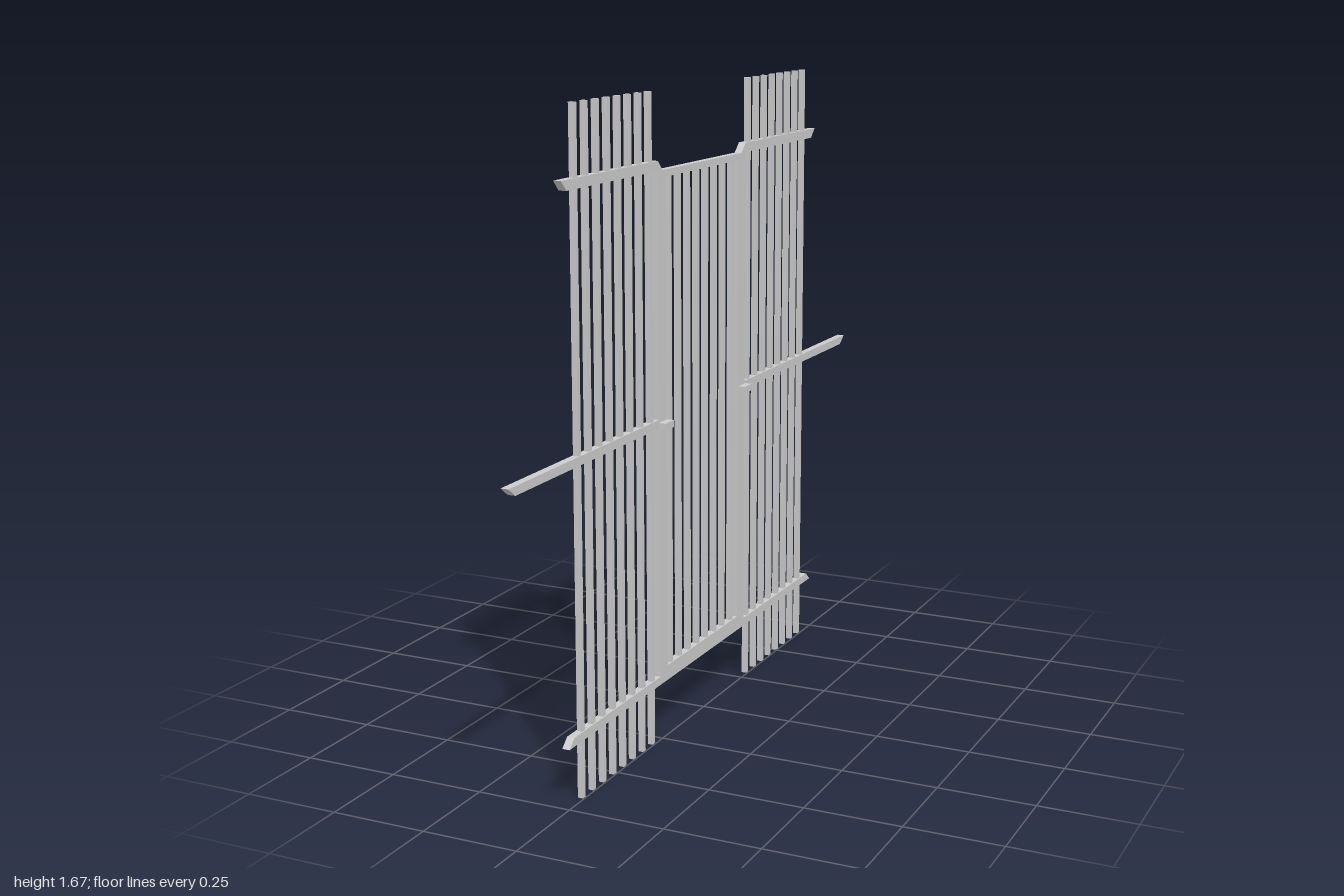
import * as THREE from 'three';

const material = new THREE.MeshStandardMaterial({ color: 0xcccccc, flatShading: true });
const DEPTH = 0.02;

// Flat bar: outline in [z, y], extruded from x = back to x = back + depth
function plate(name, points, depth = DEPTH, front = 0) {
  const shape = new THREE.Shape(points.map(([z, y]) => new THREE.Vector2(z, y)));
  const geometry = new THREE.ExtrudeGeometry(shape, { depth, bevelEnabled: false });
  geometry.rotateY(-Math.PI / 2).translate(front, 0, 0);
  const mesh = new THREE.Mesh(geometry, material);
  mesh.name = name;
  return mesh;
}

// Upright square bar
function bar(name, z, y0, y1) {
  const size = 0.014;
  const mesh = new THREE.Mesh(new THREE.BoxGeometry(size, y1 - y0, size), material);
  mesh.position.set(-DEPTH / 2, (y0 + y1) / 2, z);
  mesh.name = name;
  return mesh;
}

export function createModel() {
  const model = new THREE.Group();
  model.name = 'barredGate';
  const step = 0.0536;

  // Gate frame, one piece with a rectangular opening
  const outline = new THREE.Shape([[-0.26, 0.15], [0.26, 0.15], [0.26, 1.455], [0.24, 1.475],
    [-0.24, 1.475], [-0.26, 1.455]].map(p => new THREE.Vector2(...p)));
  outline.holes.push(new THREE.Path([[-0.217, 0.19], [-0.217, 1.457], [0.217, 1.457], [0.217, 0.19]]
    .map(p => new THREE.Vector2(...p))));
  const frameGeometry = new THREE.ExtrudeGeometry(outline, { depth: DEPTH, bevelEnabled: false });
  const frame = new THREE.Mesh(frameGeometry.rotateY(-Math.PI / 2), material);
  frame.name = 'gateFrame';
  model.add(frame);

  // Bars inside the gate
  for (let i = 0; i < 8; i++) model.add(bar('gateBar', (i - 3.5) * step, 0.18, 1.465));

  for (const s of [-1, 1]) {
    const side = new THREE.Group();
    side.name = s > 0 ? 'frontFence' : 'rearFence';
    const mirrored = points => points.map(([z, y]) => [s * z, y]);

    // Fence bars
    for (let i = 0; i < 8; i++) side.add(bar('fenceBar', s * (0.295 + i * step), 0, 1.67));

    // Rails with mitred ends
    side.add(plate('topRail', mirrored([[0.235, 1.475], [0.72, 1.475], [0.745, 1.5], [0.262, 1.5]])));
    side.add(plate('topCorner', mirrored([[0.235, 1.45], [0.26, 1.45], [0.26, 1.475], [0.235, 1.475]])));
    side.add(plate('bottomRail', mirrored([[0.25, 0.15], [0.745, 0.15], [0.72, 0.172], [0.25, 0.172]])));
    side.add(plate('middleRail', mirrored([[0.22, 0.83], [0.97, 0.83], [1, 0.852], [0.22, 0.852]])));

    // Small latch standing out from the post
    side.add(plate('latch', mirrored([[0.217, 0.827], [0.265, 0.827], [0.265, 0.845], [0.217, 0.845]]), 0.02, 0.02));
    model.add(side);
  }
  return model;
}
